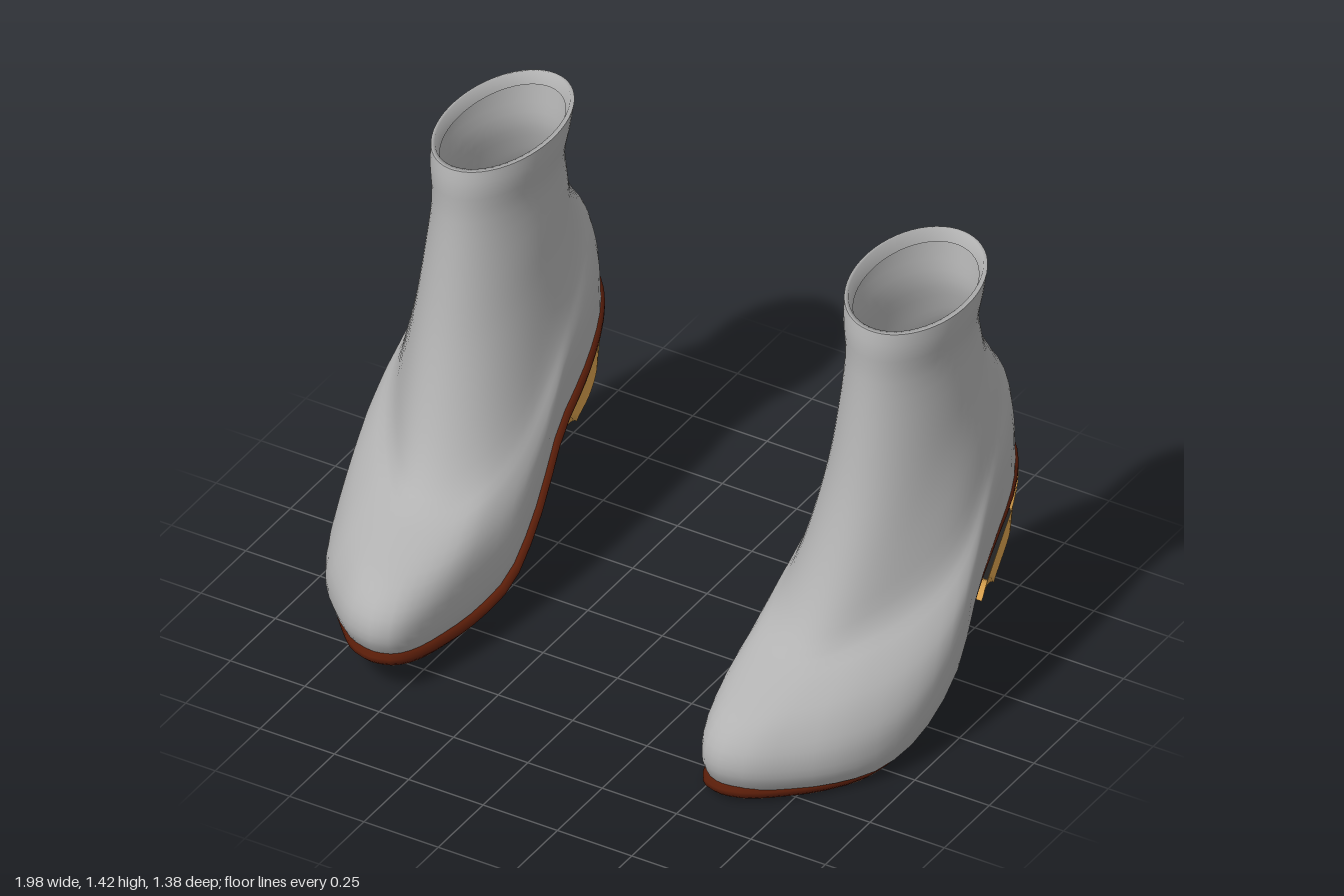
import * as THREE from 'three';

const mat = (name, color) => {
  const m = new THREE.MeshStandardMaterial({ color, side: THREE.DoubleSide });
  m.name = name;
  return m;
};

// Foot outline from toe to heel, every 15 degrees: inner x, outer x, sole height
const OUTLINE = [
  [0.57, 0.57, 0.015], [0.505, 0.66, 0.012], [0.465, 0.75, 0.005], [0.44, 0.86, 0.002],
  [0.425, 0.94, 0.005], [0.405, 0.985, 0.055], [0.42, 0.998, 0.18], [0.452, 0.96, 0.345],
  [0.47, 0.925, 0.44], [0.505, 0.89, 0.503], [0.555, 0.838, 0.545], [0.62, 0.765, 0.575], [0.69, 0.69, 0.585],
];

// Rings of the upper from sole to opening:
// front z, front y, back z, back y, sag, front x, inner x, outer x, roundness, outline scale
const RINGS = [
  [0.610, 0.045, -0.675, 0.615, 1, 0.57, 0.43, 0.98, 0, 0.87],
  [0.635, 0.10, -0.675, 0.665, 1, 0.57, 0.43, 0.98, 0.05, 0.95],
  [0.622, 0.17, -0.672, 0.74, 0.9, 0.58, 0.42, 0.99, 0.2, 1],
  [0.555, 0.24, -0.662, 0.81, 0.75, 0.60, 0.43, 0.98, 0.5, 1],
  [0.43, 0.30, -0.645, 0.87, 0.5, 0.62, 0.452, 0.96, 0.8, 1],
  [0.30, 0.37, -0.61, 0.92, 0.3, 0.64, 0.47, 0.94, 1, 1],
  [0.20, 0.52, -0.57, 0.98, 0.1, 0.67, 0.495, 0.915, 1, 1],
  [0.11, 0.74, -0.528, 1.045, 0, 0.69, 0.515, 0.885, 1, 1],
  [0.055, 0.95, -0.51, 1.11, 0, 0.695, 0.525, 0.868, 1, 1],
  [0.02, 1.15, -0.50, 1.19, 0, 0.695, 0.535, 0.857, 1, 1],
  [0.016, 1.26, -0.515, 1.28, 0, 0.695, 0.52, 0.87, 1, 1],
  [0.005, 1.322, -0.53, 1.352, 0, 0.695, 0.515, 0.875, 1, 1],
];

const { lerp, clamp, smoothstep, degToRad } = THREE.MathUtils;

// Smooth interpolation through the rows of a table, t from 0 to 1
function sample(rows, t) {
  const f = t * (rows.length - 1), i = Math.min(Math.floor(f), rows.length - 2), w = f - i;
  const [a, b, c, d] = [-1, 0, 1, 2].map((k) => rows[clamp(i + k, 0, rows.length - 1)]);
  return b.map((q, k) => q + 0.5 * w * (c[k] - a[k]
    + w * (2 * a[k] - 5 * q + 4 * c[k] - d[k] + w * (3 * (q - c[k]) + d[k] - a[k]))));
}

// Point on the foot outline; sign -1 is the inner edge, 1 the outer edge.
// The scale applies at the toe and fades to full width at the heel.
function outlinePoint(theta, sign, toeScale) {
  const [inner, outer, y] = sample(OUTLINE, theta / Math.PI);
  const u = (1 - Math.cos(theta)) / 2;
  return { x: (inner + outer) / 2 + sign * (outer - inner) / 2 * lerp(toeScale, 1, u), y, u };
}

const SEG = 56;
const around = (fn) => Array.from({ length: SEG }, (_, i) => {
  const a = (i / SEG) * Math.PI * 2;
  return a <= Math.PI ? fn(a, -1) : fn(2 * Math.PI - a, 1);
});

function upperRing(row, inset = 0, drop = 0) {
  const [zf, yf, zb, yb, sag, xf, xin, xout, round, scale] = row;
  const foot = 1 - smoothstep(yf, 0.2, 0.85);
  return around((theta, sign) => {
    const p = outlinePoint(theta, sign, scale);
    const cx = lerp(xf, (xin + xout) / 2, smoothstep(p.u, 0, 0.5));
    // Low rings narrow a little toward the heel and the instep ridge
    const narrow = 1 - foot * (0.15 * smoothstep(p.u, 0.4, 1) + 0.12 * (1 - smoothstep(p.u, 0, 0.4)));
    const oval = cx + sign * ((xout - xin) / 2 - inset) * Math.sin(theta) * narrow;
    const x = lerp(p.x - sign * 0.01 * p.u * Math.sin(theta), oval, round);
    const tilt = -0.08 * (x - 0.695) * smoothstep(yf, 0.9, 1.3);
    return [x, lerp(yf, yb, p.u) + sag * (p.y - lerp(0.015, 0.585, p.u)) + tilt - drop,
      lerp(zf - inset, zb + inset, p.u)];
  });
}

// Point on the sole, trimmed inward and lifted
function solePoint(theta, sign, trim, lift) {
  const p = outlinePoint(theta, sign, 0.87);
  const shift = 0.03 * Math.sin(theta) * (1 - p.u);
  return [p.x - shift - sign * trim * Math.sin(theta), p.y + lift, lerp(0.63 - trim, -0.69 + trim, p.u)];
}
const soleRing = (trim, lift) => around((theta, sign) => solePoint(theta, sign, trim, lift));

// Skin joining successive rows of points
function loft(rows, closed, place) {
  const n = rows[0].length, index = [];
  for (let r = 0; r < rows.length - 1; r++) {
    for (let i = 0; i < (closed ? n : n - 1); i++) {
      const j = (i + 1) % n, a = r * n + i, b = r * n + j, c = a + n, d = b + n;
      index.push(a, c, b, b, c, d);
    }
  }
  const g = new THREE.BufferGeometry();
  g.setAttribute('position', new THREE.Float32BufferAttribute(rows.flat().flatMap(place), 3));
  g.setIndex(index);
  g.computeVertexNormals();
  return g;
}

const range = (n, fn) => Array.from({ length: n + 1 }, (_, i) => fn(i / n));
const HEEL_START = degToRad(105);

// Heel point: t runs from the sole (0) down to the tip (1)
function heelPoint(theta, sign, t) {
  const p = outlinePoint(theta, sign, 0.95);
  const z = lerp(0.63, -0.685, p.u), back = clamp((z + 0.21) / -0.475, 0, 1);
  const zBottom = lerp(-0.39, -0.675, back);
  const xBottom = 0.69 + (p.x - 0.69) * 0.72;
  const arch = Math.sin(t * Math.PI) * 0.018 * (1 - back);
  return [lerp(p.x, xBottom, Math.pow(t, 0.8)), lerp(p.y, 0.272 + (-0.39 - zBottom) * 0.36, t) + arch,
    lerp(z, zBottom, t) - arch * 0.5];
}

// Closed heel ring: curved back, then straight across the front
function heelRing(t) {
  const arc = range(40, (s) => {
    const a = lerp(HEEL_START, 2 * Math.PI - HEEL_START, s);
    return a <= Math.PI ? heelPoint(a, -1, t) : heelPoint(2 * Math.PI - a, 1, t);
  });
  const from = arc[40], to = arc[0];
  const front = [0.15, 0.5, 0.85].map((s) => from.map((v, k) => lerp(v, to[k], s)));
  return [...arc, ...front];
}

function buildBoot(name, place, mats) {
  const boot = new THREE.Group();
  boot.name = name;
  const add = (part, rows, closed, material) => {
    const mesh = new THREE.Mesh(loft(rows, closed, place), material);
    mesh.name = part;
    boot.add(mesh);
  };

  // Upper with a thin turned-in rim
  const top = RINGS[RINGS.length - 1];
  add('upper', range(33, (t) => upperRing(sample(RINGS, t))), true, mats.upper);
  add('rim', [upperRing(top), upperRing(top, 0.012, -0.004), upperRing(top, 0.026, 0.035)], true, mats.upper);

  // Sole edge and underside
  add('soleEdge', [soleRing(0.012, 0), soleRing(0, 0.012), soleRing(0, 0.026),
    soleRing(0.012, 0.036), soleRing(0.035, 0.036)], true, mats.edge);
  add('soleUnderside', range(30, (t) => [-1, 1].map((s) => solePoint(t * HEEL_START, s, 0.012, 0))),
    false, mats.sole);

  // Hollow heel and its tip
  add('heel', range(6, heelRing), true, mats.heel);
  add('heelTip', range(20, (t) => [-1, 1].map((s) => heelPoint(lerp(HEEL_START, Math.PI, t), s, 1))),
    false, mats.tip);
  return boot;
}

export function createModel() {
  const mats = {
    upper: mat('grey leather', 0xb2b2b2),
    edge: mat('dark brown welt', 0x591d09),
    sole: mat('brown sole', 0xd8976f),
    heel: mat('tan heel', 0xe0a650),
    tip: mat('black heel tip', 0x202020),
  };
  const model = new THREE.Group();
  model.name = 'ankleBoots';
  model.add(buildBoot('leftBoot', (p) => p, mats));
  // Mirrored boot stands a little higher with a longer, raised toe
  model.add(buildBoot('rightBoot', ([x, y, z]) => {
    const toe = smoothstep(z, 0.2, 0.65) * (1 - smoothstep(y, 0.5, 0.8));
    return [-x, y + 0.063 + 0.025 * toe, z + 0.055 * toe];
  }, mats));
  return model;
}
